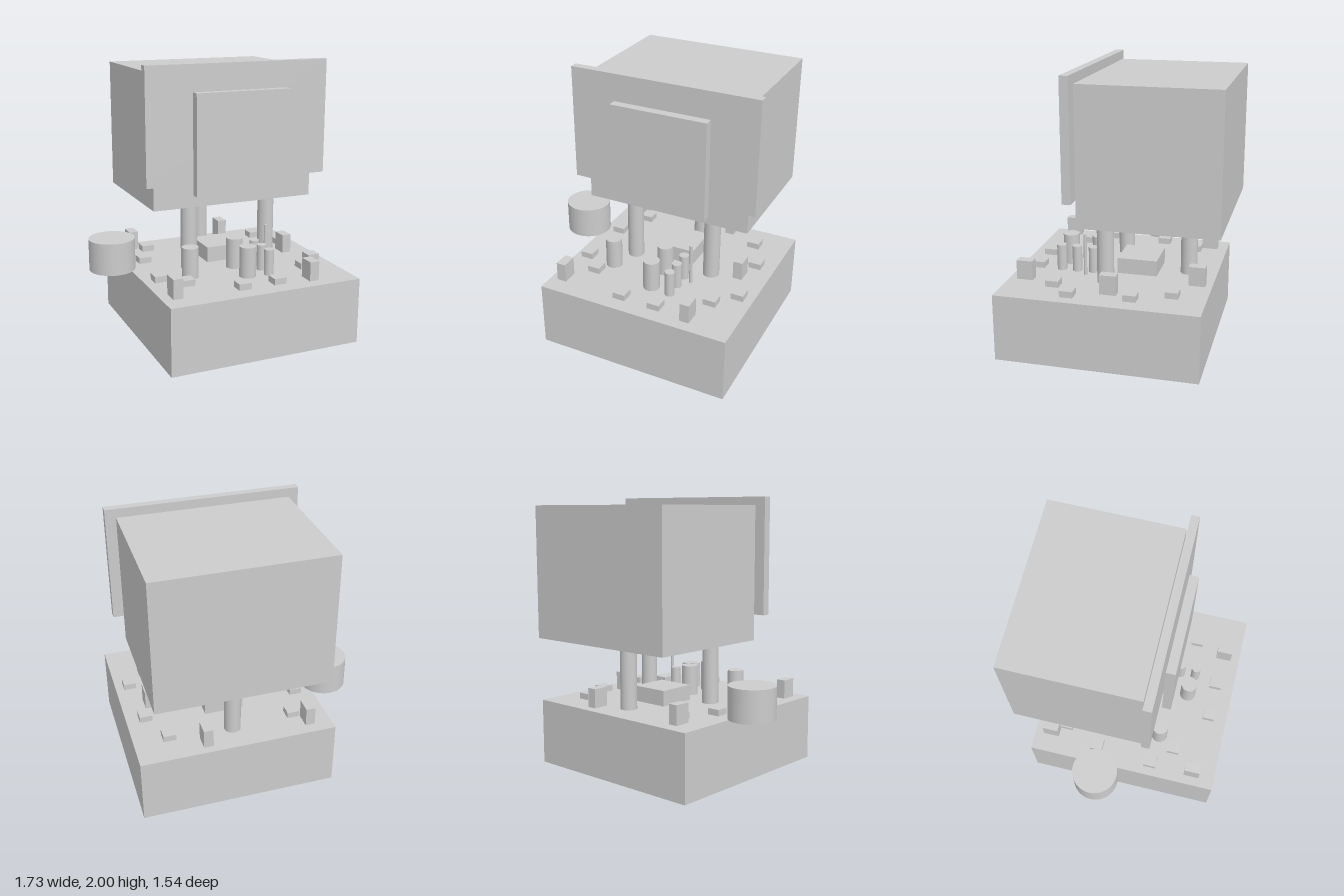
import * as THREE from 'three';

export function createModel() {
  const model = new THREE.Group();
  const material = new THREE.MeshStandardMaterial({ color: 0xcccccc });
  const CX = 0.14; // symmetry line of the base and its fittings
  const DECK = 0.495; // level on which the fittings stand

  function add(name, geometry, x, y, z) {
    const mesh = new THREE.Mesh(geometry, material);
    mesh.name = name;
    mesh.position.set(x, y, z);
    model.add(mesh);
  }
  // Box given by its extents
  function box(name, x0, x1, y0, y1, z0, z1) {
    add(name, new THREE.BoxGeometry(x1 - x0, y1 - y0, z1 - z0),
      (x0 + x1) / 2, (y0 + y1) / 2, (z0 + z1) / 2);
  }
  // Block and post standing on the deck
  function block(name, x, z, w, d, top) {
    box(name, x - w / 2, x + w / 2, DECK, top, z - d / 2, z + d / 2);
  }
  function post(name, x, z, r, top) {
    add(name, new THREE.CylinderGeometry(r, r, top - DECK, 48), x, (top + DECK) / 2, z);
  }

  // Main volumes
  box('base', -0.58, 0.86, 0, 0.485, -0.67, 0.77);
  box('upperBody', -0.48, 0.76, 0.98, 1.94, -0.77, 0.19);
  box('backPanel', -0.555, 0.835, 1.165, 2, 0.2, 0.26);
  box('frontPanel', -0.215, 0.5, 1.09, 1.81, 0.275, 0.34);

  // Side drum
  post('drum', -0.7, -0.115, 0.168, 0.73);

  // Three legs carrying the upper body
  for (const [x, z] of [[-0.17, 0.075], [0.455, 0.075], [CX, -0.465]]) {
    post('leg', x, z, 0.06, 0.98);
  }

  // Short posts and thin rod
  for (const [x, z] of [[-0.245, 0.283], [CX, 0.425], [CX, 0.2]]) {
    post('widePost', x, z, 0.06, 0.72);
  }
  for (const z of [0.45, 0.333, 0.21]) post('narrowPost', 0.297, z, 0.035, 0.685);
  post('rod', 0.37, 0.25, 0.012, 0.805);

  // Central block
  block('centralBlock', CX, -0.11, 0.29, 0.29, 0.61);

  // Low blocks mirrored about the centre line
  for (const [dx, z] of [[0.135, 0.627], [0.465, 0.412], [0.613, 0.262], [0.58, -0.17], [0.465, -0.435]]) {
    for (const s of [-1, 1]) block('lowBlock', CX + s * dx, z, 0.093, 0.093, 0.54);
  }

  // Tall blocks
  for (const [x, z] of [[-0.48, 0.593], [0.528, 0.643], [0.655, 0], [0.36, -0.565], [-0.41, -0.54]]) {
    block('tallBlock', x, z, 0.07, 0.117, 0.635);
  }

  return model;
}
